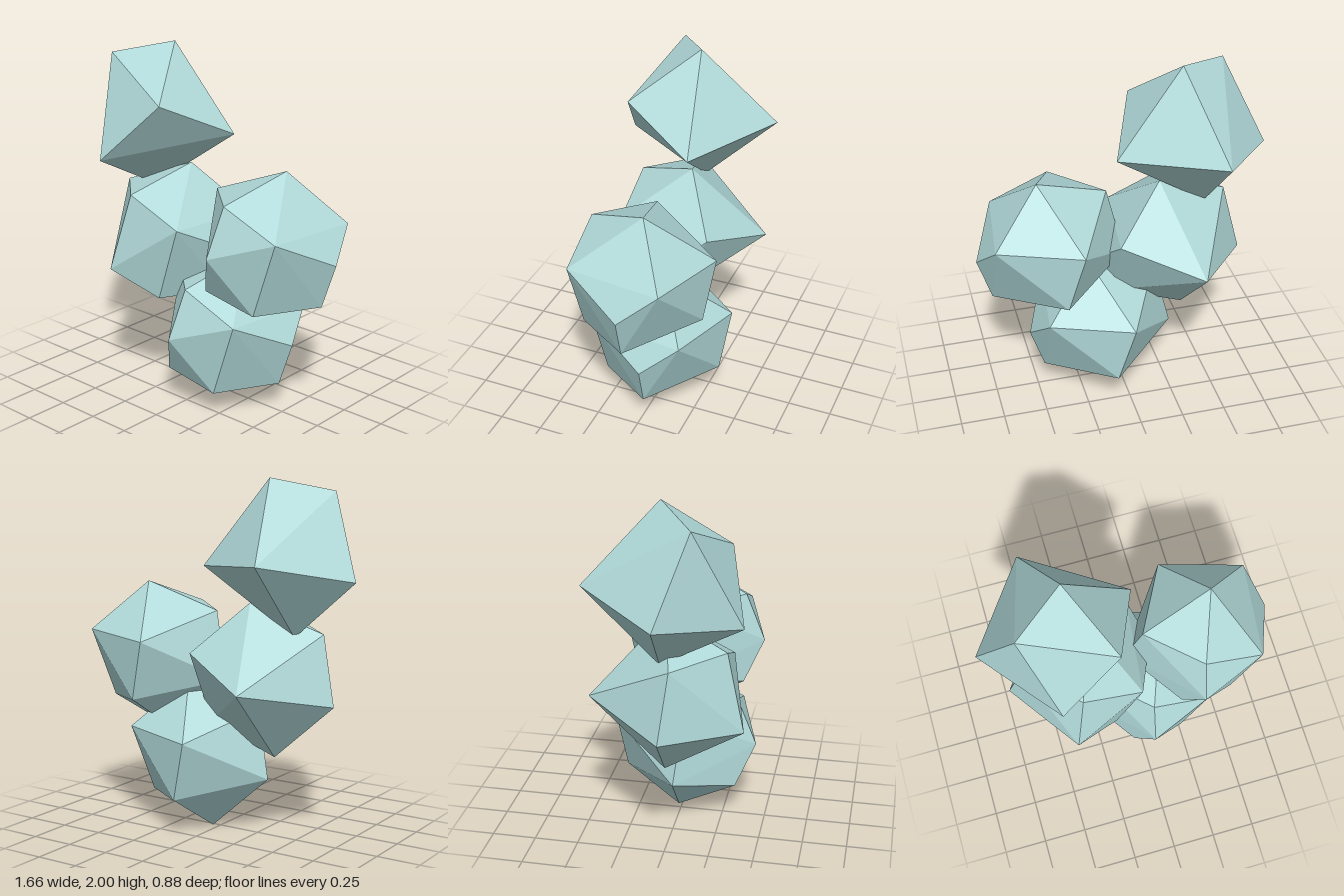
import * as THREE from 'three';
import { ConvexGeometry } from 'three/addons/geometries/ConvexGeometry.js';

// Corners of the full stone, named by where they sit on it
const corners = {
  top: [0.47, 1.40, -0.04],
  upperFront: [0.34, 1.26, 0.32],
  upperRight: [0.06, 1.245, 0.055],
  shoulderFront: [0.68, 1.12, 0.31],
  shoulderBack: [0.74, 1.12, -0.235],
  backHigh: [0.28, 1.10, -0.38],
  side: [0.82, 0.95, -0.03],
  frontHigh: [0.32, 0.99, 0.435],
  lowSide: [0.74, 0.70, -0.02],
  lowFront: [0.53, 0.685, 0.30],
  frontLow: [0.22, 0.76, 0.33],
  backLow: [0.37, 0.76, -0.34],
  farSide: [-0.03, 0.86, 0.01],
  bottom: [0.32, 0.545, -0.02],
};

// Each stone moves the same corners; coarser stones merge some of them (null drops one)
const stones = [
  { name: 'leftStone', shift: [0, 0, 0], merged: {} },
  { name: 'baseStone', shift: [-0.28, -0.54, 0], merged: {} },
  {
    name: 'rightStone', shift: [-0.69, -0.08, 0],
    merged: {
      frontHigh: [0.27, 0.83, 0.425], frontLow: null,
      backHigh: [0.305, 0.96, -0.44], backLow: null,
    },
  },
  {
    name: 'topStone', shift: [-0.81, 0.60, 0],
    merged: {
      upperFront: [0.18, 1.33, 0.17], upperRight: null,
      shoulderFront: [0.68, 1.115, 0.31],
      side: [0.85, 0.915, -0.11], shoulderBack: null, lowSide: null,
      frontHigh: [0.33, 0.775, 0.425], frontLow: null, lowFront: null,
      backHigh: [0.315, 0.96, -0.44], backLow: null,
    },
  },
];

export function createModel() {
  const group = new THREE.Group();
  group.name = 'stoneCluster';
  const material = new THREE.MeshStandardMaterial({ color: 0xb0d8d8, flatShading: true });

  for (const { name, shift, merged } of stones) {
    const points = Object.values({ ...corners, ...merged })
      .filter(Boolean)
      .map((p) => new THREE.Vector3(...p));
    const stone = new THREE.Mesh(new ConvexGeometry(points), material);
    stone.name = name;
    stone.position.set(...shift);
    group.add(stone);
  }
  return group;
}
